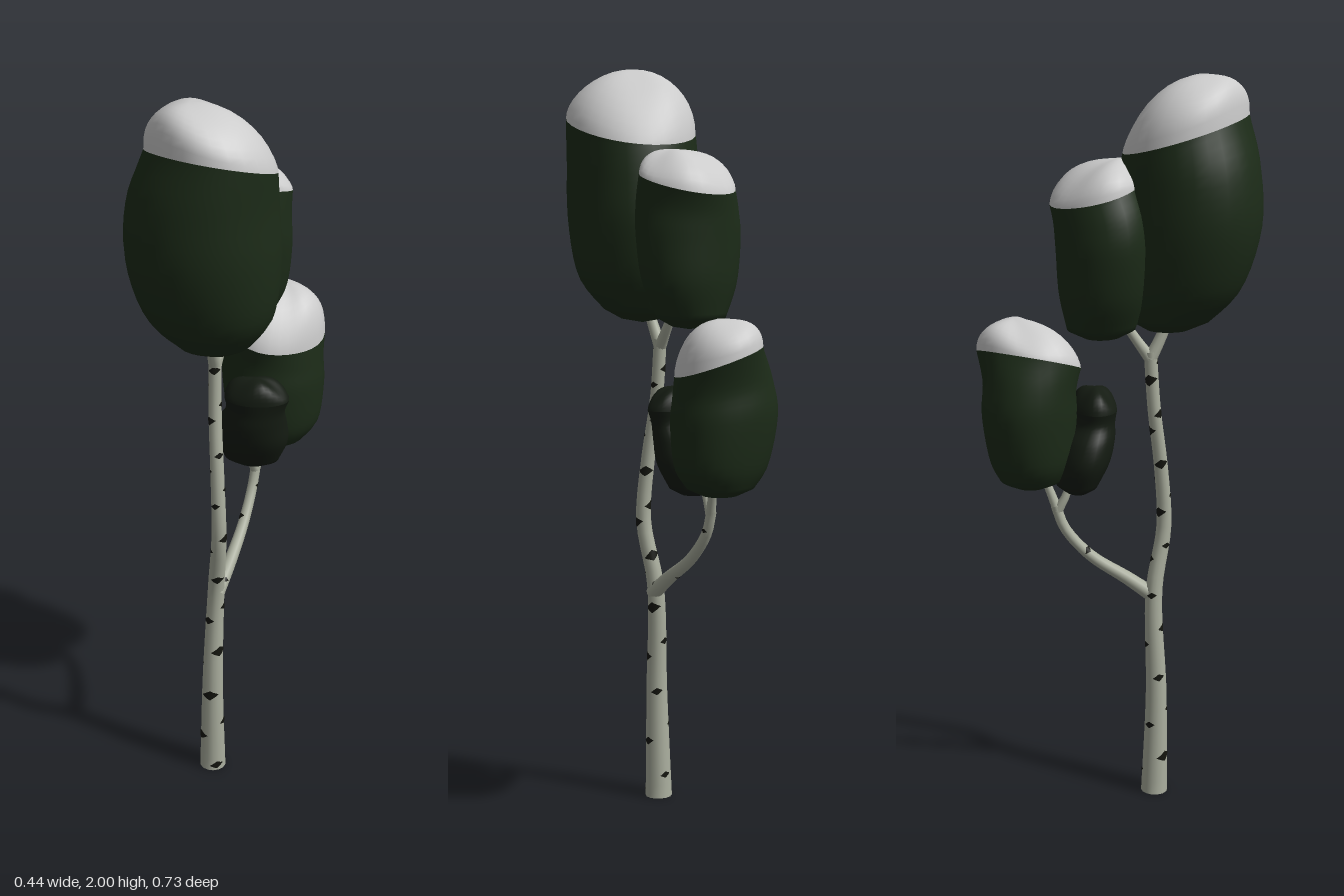
import * as THREE from 'three';
import { mergeVertices } from 'three/addons/utils/BufferGeometryUtils.js';

const paint = (color) => new THREE.MeshStandardMaterial({ color });
const snow = paint(0xcccccc);
const leaf = paint(0x1c2b18);
const shadeLeaf = paint(0x141b12);
const bark = paint(0xaaae9e);
const barkMark = paint(0x14150f);
const V = (x, y, z) => new THREE.Vector3(x, y, z);

// Skin closed rings (arrays of points running clockwise seen from the far end)
function loft(rings) {
  const n = rings[0].length;
  const index = [];
  for (let i = 0; i < rings.length - 1; i++) {
    for (let j = 0; j < n; j++) {
      const k = (j + 1) % n;
      const a = i * n + j, b = a + n, c = i * n + k, d = c + n;
      index.push(a, b, c, c, b, d);
    }
  }
  let geo = new THREE.BufferGeometry();
  geo.setAttribute('position', new THREE.Float32BufferAttribute(rings.flat().flatMap((p) => p.toArray()), 3));
  geo.setIndex(index);
  geo = mergeVertices(geo, 1e-5);
  geo.computeVertexNormals();
  return geo;
}

function part(name, geo, material) {
  const mesh = new THREE.Mesh(geo, material);
  mesh.name = name;
  return mesh;
}

// Limb along a curve, tapering fastest near its foot
function limb(name, points, r0, r1, steps = 16, sides = 12) {
  const curve = new THREE.CatmullRomCurve3(points);
  const { normals, binormals } = curve.computeFrenetFrames(steps);
  const radius = (u) => r1 + (r0 - r1) * (1 - u) ** 2;
  const rings = [];
  for (let i = 0; i <= steps; i++) {
    const c = curve.getPointAt(i / steps);
    const r = radius(i / steps);
    rings.push(Array.from({ length: sides }, (_, j) => {
      const t = (j / sides) * Math.PI * 2;
      return c.clone().addScaledVector(normals[i], r * Math.cos(t)).addScaledVector(binormals[i], -r * Math.sin(t));
    }));
  }
  return { mesh: part(name, loft(rings), bark), curve, radius };
}

// Dark diamond flecks wrapped around a limb
function flecks({ curve, radius }, count, size) {
  const group = new THREE.Group();
  group.name = 'barkMarks';
  for (let i = 0; i < count; i++) {
    const u = (i + 0.4) / count;
    const r = radius(u) * 1.04;
    const w = size * (0.85 + 0.25 * Math.sin(i * 4.1));
    const geo = new THREE.PlaneGeometry(2, 2, 6, 2);
    const p = geo.attributes.position;
    for (let v = 0; v < p.count; v++) {
      const t = p.getX(v);
      const a = i * 2.4 + 0.5 + (t * w) / r;
      p.setXYZ(v, r * Math.sin(a), p.getY(v) * (1 - Math.abs(t)) * w * 0.6 + t * w * 0.15, r * Math.cos(a));
    }
    geo.computeVertexNormals();
    const mark = part('barkMark', geo, barkMark);
    mark.position.copy(curve.getPointAt(u));
    mark.quaternion.setFromUnitVectors(V(0, 1, 0), curve.getTangentAt(u));
    group.add(mark);
  }
  return group;
}

const SEG = 28;
const angle = (j) => (j / SEG) * Math.PI * 2;

// Foliage clump: sections are [y, cx, cz, rx, rz, diagonal stretch] from bottom to rim.
// The rim is tilted; a domed cap rises to the apex, sloping gently towards the slope direction
function clump(name, { tip, sections, tilt, apex, slope, phase, green = leaf, cap = snow }) {
  const group = new THREE.Group();
  group.name = name;
  const tracks = [0, 1, 2, 3, 4, 5].map((k) => new THREE.SplineCurve(sections.map((s, i) => new THREE.Vector2(i, s[k]))));
  const ringAt = (u) => {
    const [y, cx, cz, rx, rz, stretch] = tracks.map((t) => t.getPoint(u).y);
    return Array.from({ length: SEG }, (_, j) => {
      const a = angle(j);
      const k = 1 - stretch * Math.sin(2 * a) + 0.022 * Math.sin(3 * a + phase - u * 3);
      const dx = rx * k * Math.cos(a), dz = rz * k * Math.sin(a);
      return V(cx + dx, y + u * u * (tilt[0] * dx + tilt[1] * dz), cz + dz);
    });
  };

  // Body, closed to a point underneath
  const steps = 18;
  const bottom = V(...tip);
  const body = [0, 0.55].map((s) => ringAt(0).map((p) => V(
    bottom.x + (p.x - bottom.x) * s, bottom.y + (p.y - bottom.y) * s * 0.5, bottom.z + (p.z - bottom.z) * s)));
  for (let i = 0; i <= steps; i++) body.push(ringAt(i / steps));
  group.add(part('foliage', loft(body), green));

  // Cap with soft lumps
  const rim = ringAt(1), top = V(...apex), dome = [];
  for (let i = 0; i <= 10; i++) {
    const q = (i / 10) * Math.PI / 2;
    const w = Math.cos(q);
    dome.push(rim.map((p, j) => {
      const a = angle(j);
      const h = Math.sin(q) ** (1.1 + slope[1] * Math.cos(a - slope[0]));
      const lump = 0.012 * Math.sin(2 * q) * w * Math.sin(3 * a + phase * 2);
      return V(top.x + (p.x - top.x) * w, p.y + (top.y - p.y) * h + lump, top.z + (p.z - top.z) * w);
    }));
  }
  group.add(part(cap === snow ? 'snowCap' : 'foliageTop', loft(dome), cap));
  return group;
}

export function createModel() {
  const tree = new THREE.Group();
  tree.name = 'snowyBirch';

  // Trunk and its base
  const trunk = limb('trunk', [
    V(-0.03, 0, 0.095), V(-0.028, 0.3, 0.1), V(-0.018, 0.6, 0.095), V(-0.004, 0.78, 0.126),
    V(-0.01, 0.95, 0.115), V(-0.02, 1.12, 0.092), V(-0.022, 1.28, 0.08)], 0.037, 0.0175, 36, 14);
  const base = part('trunkBase', new THREE.CircleGeometry(0.037, 14), bark);
  base.rotation.x = Math.PI / 2;
  base.position.set(-0.03, 0.001, 0.095);
  tree.add(trunk.mesh, base, flecks(trunk, 27, 0.024));

  // Side branch and the twigs carrying the clumps
  const branch = limb('sideBranch', [
    V(-0.016, 0.58, 0.1), V(0.005, 0.635, 0.025), V(0.025, 0.705, -0.075),
    V(0.038, 0.785, -0.142), V(0.045, 0.85, -0.165)], 0.022, 0.014);
  tree.add(branch.mesh, flecks(branch, 4, 0.014));
  [
    ['upperTwigFront', [V(-0.022, 1.26, 0.08), V(-0.024, 1.31, 0.105), V(-0.025, 1.38, 0.135)], 0.018, 0.014],
    ['upperTwigBack', [V(-0.022, 1.26, 0.08), V(-0.01, 1.31, 0.045), V(0, 1.38, 0)], 0.017, 0.012],
    ['lowerTwigFront', [V(0.043, 0.835, -0.16), V(0.035, 0.88, -0.138), V(0.04, 0.95, -0.115)], 0.014, 0.009],
    ['lowerTwigBack', [V(0.043, 0.835, -0.16), V(0.055, 0.88, -0.175), V(0.07, 0.95, -0.2)], 0.014, 0.011],
  ].forEach(([name, pts, a, b]) => tree.add(limb(name, pts, a, b, 6, 10).mesh));

  // Foliage clumps
  tree.add(clump('crownClump', {
    tip: [0, 1.325, 0.125], phase: 0.6, tilt: [-0.12, 0.28], apex: [-0.055, 2.0, 0.21], slope: [-0.7, 0.45],
    sections: [[1.36, -0.01, 0.14, 0.095, 0.105, 0], [1.45, -0.015, 0.163, 0.16, 0.16, 0.04],
      [1.6, -0.026, 0.177, 0.189, 0.19, 0.06], [1.74, -0.026, 0.18, 0.184, 0.184, 0.03],
      [1.845, -0.01, 0.175, 0.165, 0.167, -0.05]],
  }));
  tree.add(clump('backCrownClump', {
    tip: [0, 1.315, -0.045], phase: 2.1, tilt: [0, 0.27], apex: [0.015, 1.785, 0.0], slope: [-1.2, 0.2],
    sections: [[1.345, 0, -0.05, 0.09, 0.09, 0], [1.44, 0, -0.045, 0.138, 0.113, 0],
      [1.56, -0.002, -0.042, 0.156, 0.121, 0], [1.64, 0.003, -0.045, 0.15, 0.121, 0],
      [1.7, 0.017, -0.057, 0.138, 0.116, 0]],
  }));
  tree.add(clump('lowerClump', {
    tip: [0.08, 0.895, -0.225], phase: 3.7, tilt: [-0.25, -0.25], apex: [0.112, 1.36, -0.26], slope: [2.3, 0.3],
    sections: [[0.92, 0.08, -0.225, 0.09, 0.085, 0], [0.98, 0.08, -0.226, 0.128, 0.113, -0.02],
      [1.1, 0.076, -0.23, 0.143, 0.128, -0.03], [1.18, 0.078, -0.227, 0.137, 0.123, 0.01],
      [1.25, 0.09, -0.225, 0.124, 0.13, 0.12]],
  }));
  tree.add(clump('smallClump', {
    tip: [0.04, 0.88, -0.11], phase: 5.2, tilt: [0, 0], apex: [0.06, 1.17, -0.05], slope: [0, 0],
    green: shadeLeaf, cap: shadeLeaf,
    sections: [[0.905, 0.045, -0.105, 0.075, 0.055, 0], [0.97, 0.047, -0.09, 0.1, 0.073, 0],
      [1.03, 0.05, -0.072, 0.094, 0.07, 0], [1.075, 0.06, -0.055, 0.08, 0.056, 0], [1.11, 0.063, -0.052, 0.088, 0.058, 0]],
  }));
  return tree;
}
